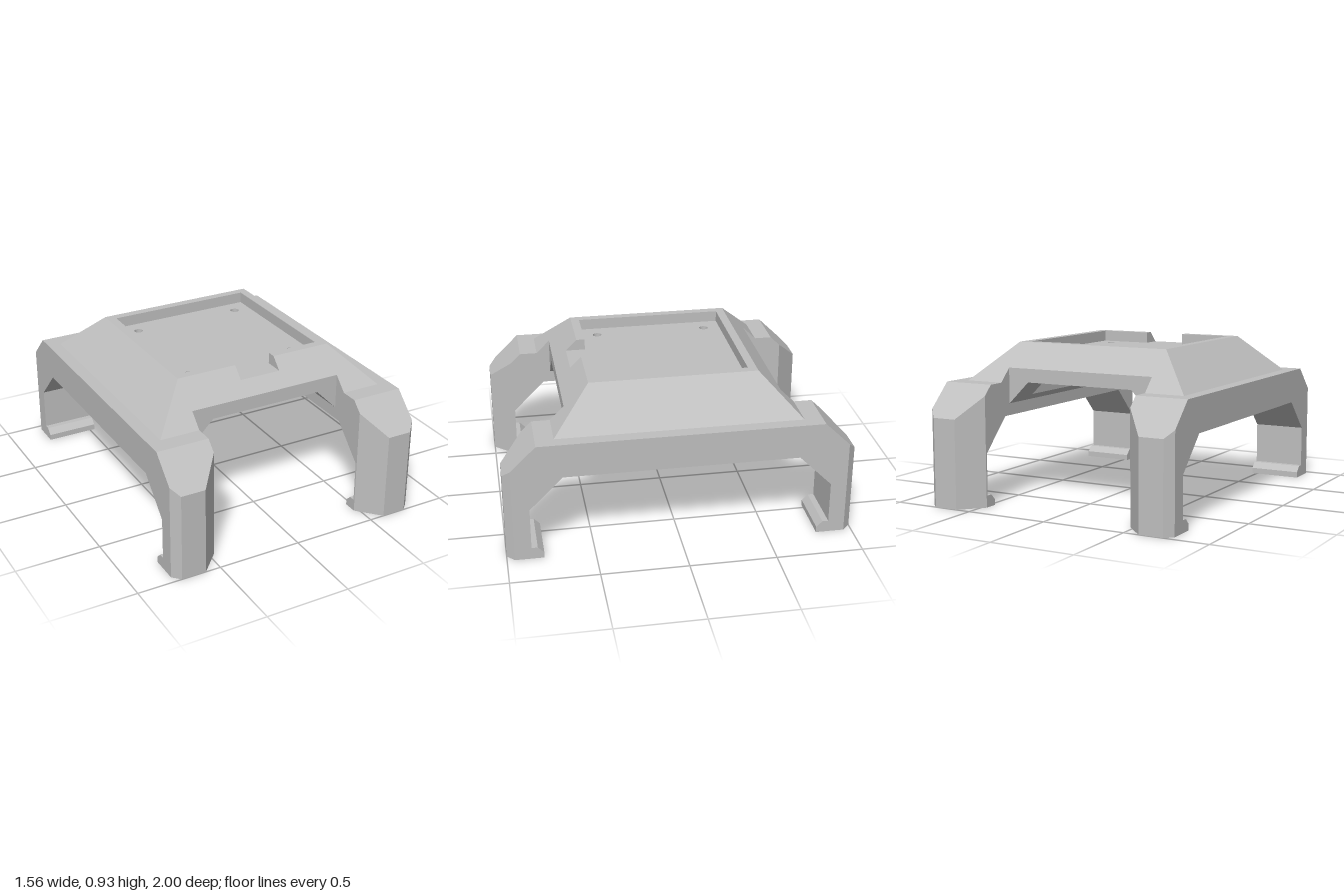
import * as THREE from 'three';

// Loft matching counter-clockwise sections [t, [[a, b], ...]] along z, with end caps and flat normals.
// Edges listed in skip are left open.
function loft(sections, skip = []) {
  const out = [];
  const put = (s, i) => out.push(s[1][i][0], s[1][i][1], s[0]);
  const n = sections[0][1].length;
  for (let k = 0; k + 1 < sections.length; k++) {
    const p = sections[k], q = sections[k + 1];
    for (let i = 0; i < n; i++) {
      if (skip.includes(i)) continue;
      const j = (i + 1) % n;
      put(p, i); put(p, j); put(q, j);
      put(p, i); put(q, j); put(q, i);
    }
  }
  const cap = (s, flip) => {
    const pts = s[1].map(([a, b]) => new THREE.Vector2(a, b));
    if (Math.abs(THREE.ShapeUtils.area(pts)) < 1e-6) return;
    for (const [a, b, c] of THREE.ShapeUtils.triangulateShape(pts, [])) {
      put(s, a); put(s, flip ? c : b); put(s, flip ? b : c);
    }
  };
  cap(sections[0], true);
  cap(sections[sections.length - 1], false);
  const g = new THREE.BufferGeometry();
  g.setAttribute('position', new THREE.Float32BufferAttribute(out, 3));
  g.computeVertexNormals();
  return g;
}

// Same loft running along x; section coordinates are (-z, y)
const loftX = (sections, skip) => loft(sections, skip).rotateY(Math.PI / 2);
const prism = (section, t0, t1) => loft([[t0, section], [t1, section]]);

const polygon = (pts) => new THREE.Shape(pts.map(([x, y]) => new THREE.Vector2(x, y)));
const circle = (x, y, r) => new THREE.Path().absarc(x, y, r, 0, Math.PI * 2, true);

export function createModel() {
  const model = new THREE.Group();
  model.name = 'stand';
  const grey = new THREE.MeshStandardMaterial({ color: 0xbfbfbf, side: THREE.DoubleSide });
  grey.name = 'grey plastic';
  const add = (parent, name, geometry) => {
    const mesh = new THREE.Mesh(geometry, grey);
    mesh.name = name;
    parent.add(mesh);
    return mesh;
  };

  // Arch profile at a given front reach: sloped shoulders, braced inner corners, toes turned inward
  const archProfile = (reach) => {
    const outer = [[reach, 0], [reach, 0.52 + (1 - reach) * 0.974], [0.81, 0.705]];
    const inner = [[0.67, 0.505], [0.86, 0.315], [0.86, 0.07], [0.825, 0.07], [0.79, 0.035], [0.79, 0]];
    const mirror = (pts) => pts.map(([a, b]) => [-a, b]).reverse();
    return [...outer, ...mirror(outer), ...mirror(inner), ...inner];
  };

  // The two sides are the same part, turned half a turn
  for (const name of ['left', 'right']) {
    const side = new THREE.Group();
    side.name = name + 'Side';
    if (name === 'right') side.rotation.y = Math.PI;
    model.add(side);

    // Legs and beam with chamfered outer corners; soles are added separately
    const arch = [[0.47, 0.87], [0.59, 1], [0.735, 1], [0.78, 0.955]];
    add(side, 'legArch', loftX(arch.map(([x, reach]) => [x, archProfile(reach)]), [5, 17]));

    // Soles with blind screw holes
    for (const s of [1, -1]) {
      const sole = polygon([[0.47, 0.79], [0.78, 0.79], [0.78, 0.955], [0.735, 1], [0.59, 1], [0.47, 0.87]]
        .map(([x, z]) => [x, s * z]));
      sole.holes.push(circle(0.625, s * 0.9, 0.022));
      add(side, 'footSole', new THREE.ShapeGeometry(sole, 12).rotateX(Math.PI / 2));
      const bore = [[0, 0.06], [0.022, 0.06], [0.022, 0]].map(([r, y]) => new THREE.Vector2(r, y));
      add(side, 'footHole', new THREE.LatheGeometry(bore, 24)).position.set(0.625, 0, s * 0.9);
    }

    // Sloping shoulder of the raised deck, shrinking to its lower outer edge
    const deck = (half, y) => [[0.705, 0.705], [half, y], [-half, y], [-0.705, 0.705]];
    add(side, 'deckShoulder', loftX([
      [0.47, deck(0.485, 0.925)], [0.485, deck(0.485, 0.925)], [0.705, deck(0.705, 0.705)],
    ]));

    // Wall between the tray and the beam
    add(side, 'trayWall', prism([[0.435, 0.61], [0.47, 0.575], [0.47, 0.925], [0.435, 0.925]], -0.435, 0.435));

    // Braces below the cross beams
    for (const s of [1, -1]) {
      add(side, 'beamBrace', prism([[0.34, 0.705], [0.47, 0.575], [0.47, 0.705]], -0.095, 0.095))
        .position.z = s * 0.53;
    }
  }

  // Cross beams: section in (-z, y), turned round for the front
  const beam = [[0.435, 0.705], [0.625, 0.705], [0.625, 0.785], [0.485, 0.925], [0.435, 0.925]];
  const notched = [[0.435, 0.705], [0.625, 0.705], [0.625, 0.785], [0.55, 0.86], [0.435, 0.86]];
  const beamPiece = (section, x0, x1) => loftX([[x0, section], [x1, section]]);
  add(model, 'backBeam', beamPiece(beam, -0.47, 0.47));
  const front = new THREE.Group();
  front.name = 'frontBeam';
  front.rotation.y = Math.PI;
  model.add(front);
  add(front, 'beamEnd', beamPiece(beam, -0.47, -0.125));
  add(front, 'beamNotch', beamPiece(notched, -0.125, 0.125));
  add(front, 'beamEnd', beamPiece(beam, 0.125, 0.47));

  // Sunken tray floor with four through holes
  const h = 0.435;
  const floor = polygon([[-h, -h], [h, -h], [h, h], [-h, h]]);
  for (const x of [-0.335, 0.335]) for (const z of [-0.335, 0.335]) floor.holes.push(circle(x, z, 0.026));
  const plate = new THREE.ExtrudeGeometry(floor, { depth: 0.07, bevelEnabled: false, curveSegments: 24 });
  add(model, 'trayFloor', plate.rotateX(-Math.PI / 2)).position.y = 0.79;

  return model;
}
